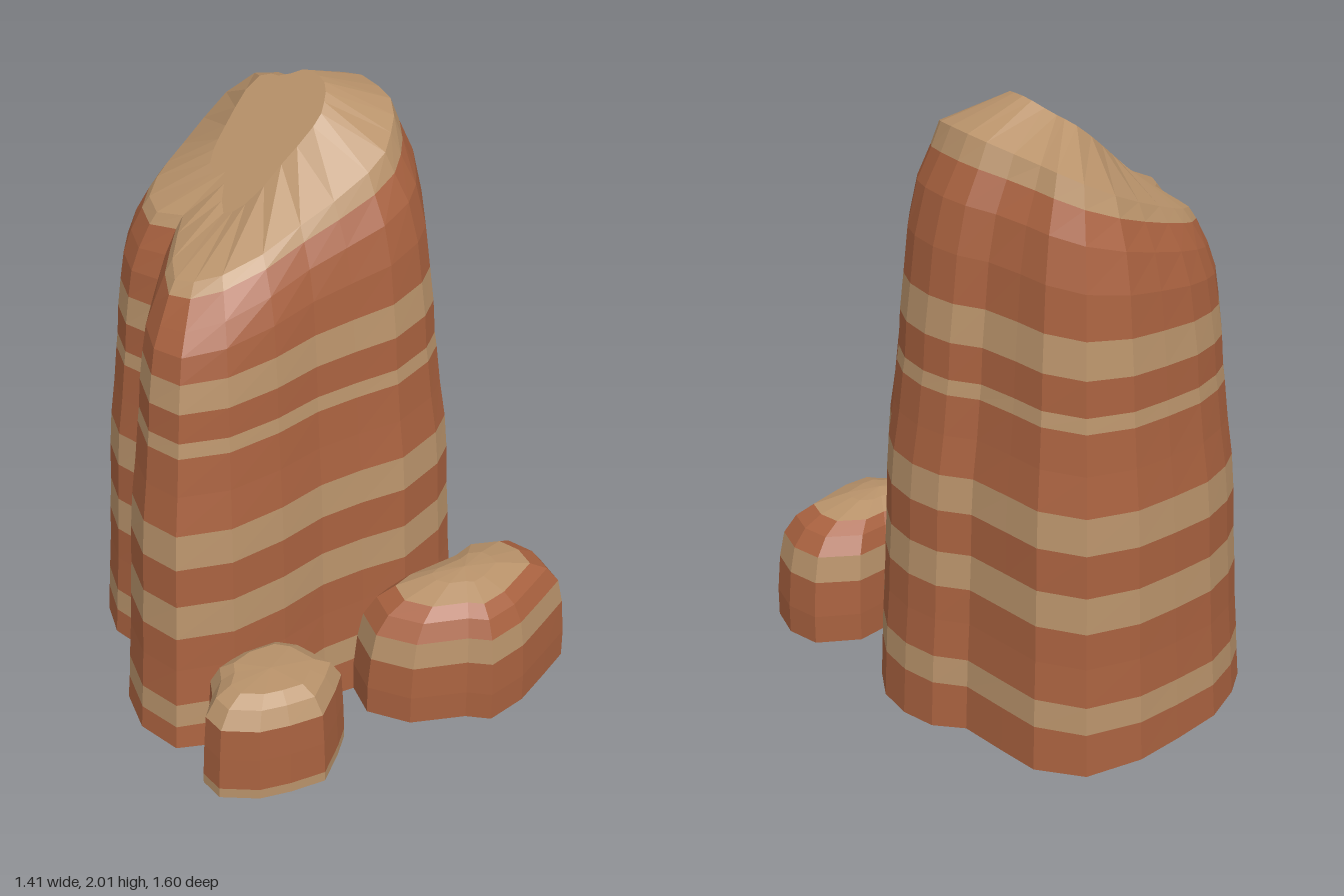
import * as THREE from 'three';

const red = new THREE.MeshStandardMaterial({ color: 0xa8613f });
red.name = 'red sandstone';
const tan = new THREE.MeshStandardMaterial({ color: 0xb8926a });
tan.name = 'tan sandstone';
const R = 0, T = 1;

// Stacks faceted rings from a base outline towards a top outline.
// Level: [height, tilt along x, blend base to top, colour above, bend, shrink]
function layeredRock(name, base, top, centre, levels, peak) {
  const [cx, cz] = centre;
  const n = base.length;
  const faces = [[], []];
  const rings = levels.map(([y, tilt, w, , bend = 0, shrink = 1]) => base.map(([bx, bz], i) => {
    const x = cx + (bx + (top[i][0] - bx) * w - cx) * shrink;
    const z = cz + (bz + (top[i][1] - bz) * w - cz) * shrink;
    return [x, y + tilt * (x - cx) + bend * (x - cx) ** 2, z];
  }));
  const tri = (colour, ...pts) => faces[colour].push(...pts.flat());
  for (let j = 0; j < n; j++) {
    const k = (j + 1) % n;
    for (let i = 0; i < rings.length - 1; i++) {
      const a = rings[i], b = rings[i + 1], colour = levels[i][3];
      tri(colour, a[j], b[j], a[k]);
      tri(colour, a[k], b[j], b[k]);
    }
    const last = rings[rings.length - 1];
    tri(T, [cx, peak, cz], last[k], last[j]);
    tri(levels[0][3], [cx, 0, cz], rings[0][j], rings[0][k]);
  }
  const geo = new THREE.BufferGeometry();
  geo.setAttribute('position', new THREE.Float32BufferAttribute([...faces[R], ...faces[T]], 3));
  geo.addGroup(0, faces[R].length / 3, 0);
  geo.addGroup(faces[R].length / 3, faces[T].length / 3, 1);
  geo.computeVertexNormals(); // unshared corners give flat facets
  const mesh = new THREE.Mesh(geo, [red, tan]);
  mesh.name = name;
  return mesh;
}

// Main pillar: base x, z and matching rim x, z
const pillar = [
  [0.2, -0.8, 0.14, -0.55], [0.4, -0.78, 0.24, -0.53], [0.51, -0.65, 0.28, -0.45],
  [0.53, -0.5, 0.29, -0.38], [0.55, -0.33, 0.33, -0.3], [0.63, -0.25, 0.38, -0.23],
  [0.66, -0.13, 0.4, -0.16], [0.65, 0, 0.395, -0.06], [0.59, 0.12, 0.38, 0.02],
  [0.5, 0.24, 0.34, 0.09], [0.45, 0.34, 0.29, 0.14], [0.36, 0.4, 0.23, 0.19],
  [0.17, 0.45, 0.15, 0.21], [0.02, 0.41, 0.02, 0.21], [-0.13, 0.39, -0.1, 0.2],
  [-0.3, 0.41, -0.24, 0.2], [-0.5, 0.405, -0.37, 0.17], [-0.68, 0.32, -0.44, 0.12],
  [-0.71, 0.16, -0.47, 0.06], [-0.66, 0, -0.42, -0.03], [-0.55, -0.12, -0.34, -0.12],
  [-0.48, -0.2, -0.28, -0.18], [-0.5, -0.33, -0.32, -0.27], [-0.45, -0.46, -0.29, -0.36],
  [-0.38, -0.57, -0.22, -0.42], [-0.29, -0.65, -0.16, -0.45], [-0.15, -0.73, -0.08, -0.48],
  [0.03, -0.77, 0.03, -0.52],
];
const pillarLevels = [
  [0, 0, 0, R], [0.12, 0.06, 0.03, T], [0.21, 0.07, 0.05, R], [0.34, 0.07, 0.09, R],
  [0.46, 0.07, 0.11, T], [0.58, 0.07, 0.14, R], [0.72, 0.075, 0.16, T], [0.84, 0.075, 0.2, R],
  [0.97, 0.075, 0.28, R], [1.1, 0.08, 0.34, T], [1.15, 0.08, 0.37, R],
  [1.26, 0.1, 0.4, T], [1.37, 0.13, 0.46, R], [1.49, 0.2, 0.53, R], [1.6, 0.3, 0.67, R],
  [1.68, 0.36, 0.87, T, 0.08], [1.73, 0.44, 1, T, 0.15], [1.85, 0.83, 1, T, 0, 0.47],
];

// Boulders: base x, z
const leftBoulder = [
  [0.58, 0.36], [0.45, 0.33], [0.3, 0.35], [0.24, 0.42], [0.2, 0.59], [0.27, 0.65],
  [0.38, 0.73], [0.5, 0.71], [0.6, 0.68], [0.7, 0.6], [0.7, 0.51], [0.62, 0.43],
].map(([x, z]) => [-x, z]);
const rightBoulder = [
  [0.1, 0.37], [0.4, 0.38], [0.53, 0.35], [0.67, 0.42], [0.7, 0.54], [0.67, 0.67], [0.55, 0.72],
  [0.4, 0.78], [0.25, 0.8], [0.19, 0.74], [0.02, 0.66], [-0.06, 0.53], [-0.02, 0.4],
];

export function createModel() {
  const group = new THREE.Group();
  group.name = 'layered rock formation';
  group.add(layeredRock('mainPillar', pillar.map(p => p.slice(0, 2)), pillar.map(p => p.slice(2)),
    [0, -0.13], pillarLevels, 1.85));
  const boulder = (name, outline, centre, levels, peak) =>
    group.add(layeredRock(name, outline, outline.map(() => centre), centre, levels, peak));
  boulder('leftBoulder', leftBoulder, [-0.45, 0.53], [
    [0, 0, 0, T], [0.035, 0, 0, R], [0.15, 0, 0.02, R], [0.26, 0, 0.05, T],
    [0.32, 0, 0.2, T], [0.35, 0, 0.42, T]], 0.36);
  boulder('rightBoulder', rightBoulder, [0.32, 0.55], [
    [0, 0, 0, R], [0.1, 0, 0, R], [0.22, 0.02, 0.03, T], [0.31, 0.02, 0.08, R],
    [0.37, 0.02, 0.2, R], [0.405, 0.02, 0.37, T], [0.435, 0.02, 0.7, T]], 0.445);
  return group;
}
